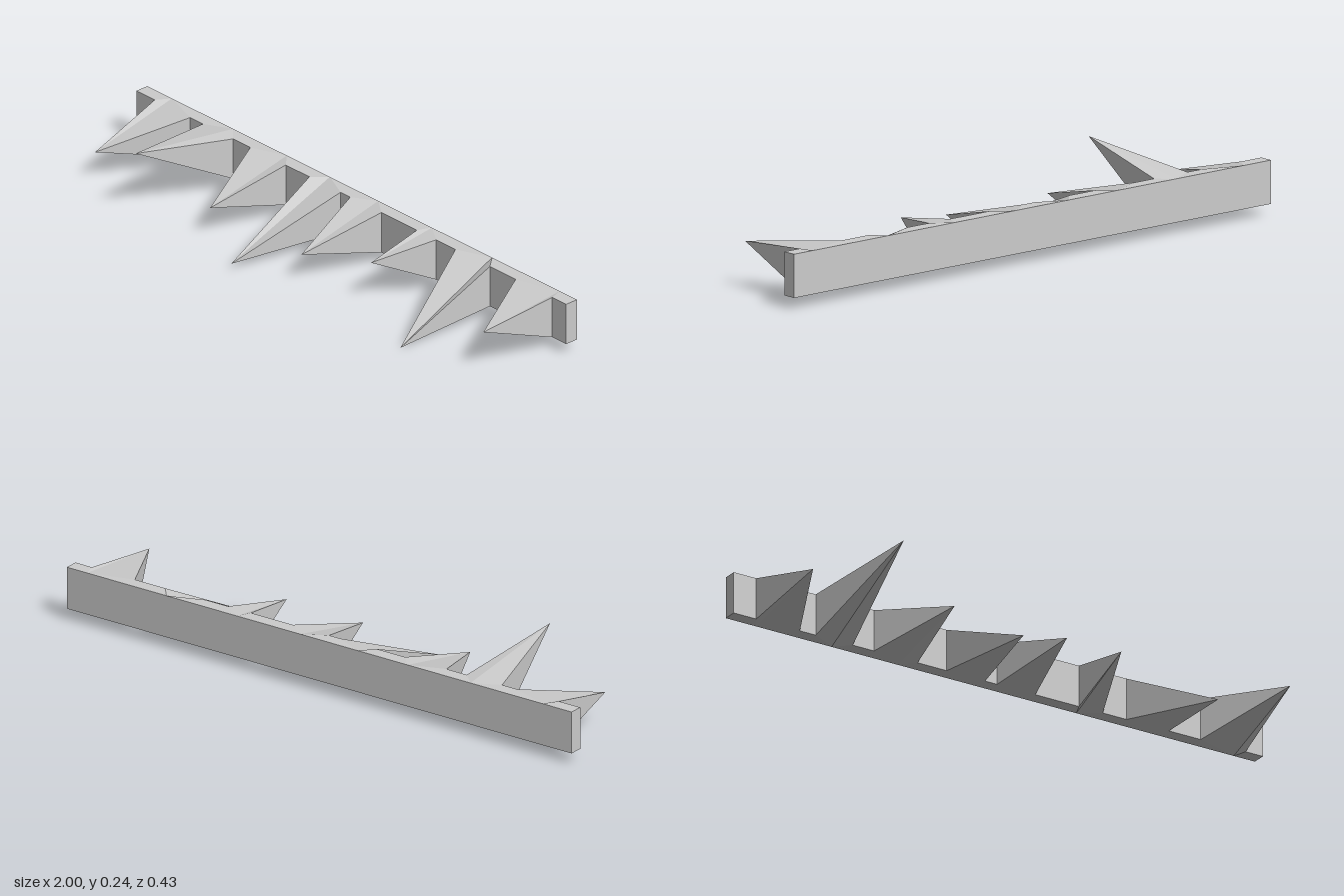
import * as THREE from 'three';

const TOP = 0.183, BOTTOM = 0.04, FRONT = -0.168, BACK = -0.215;

// left edge of base, right edge of base, then tip x, y, z
const SPIKES = [
  [-0.915, -0.75, -0.885, 0.11, 0.12],
  [-0.69, -0.55, -0.60, 0.247, 0.21],
  [-0.47, -0.305, -0.35, 0.115, 0.12],
  [-0.195, -0.05, -0.15, 0.025, 0.215],
  [-0.005, 0.14, 0.075, 0.11, 0.12],
  [0.305, 0.395, 0.325, 0.152, 0.05],
  [0.485, 0.645, 0.605, 0.002, 0.185],
  [0.765, 0.935, 0.92, 0.155, 0.118],
];

const material = new THREE.MeshStandardMaterial({ color: 0xcccccc, flatShading: true });

// Mesh from convex polygons, each listed counter-clockwise from outside
function polygonMesh(name, polygons) {
  const positions = [];
  for (const p of polygons) {
    for (let i = 1; i < p.length - 1; i++) positions.push(...p[0], ...p[i], ...p[i + 1]);
  }
  const geometry = new THREE.BufferGeometry();
  geometry.setAttribute('position', new THREE.Float32BufferAttribute(positions, 3));
  geometry.computeVertexNormals();
  const mesh = new THREE.Mesh(geometry, material);
  mesh.name = name;
  return mesh;
}

// Spike: two side faces, and folded top and bottom faces running to the rail's back edge
function spike([x1, x2, tx, ty, tz]) {
  const tip = [tx, ty, tz];
  const a = [x1, TOP, FRONT], b = [x2, TOP, FRONT], m = [tx, TOP, BACK];
  const c = [x1, BOTTOM, FRONT], d = [x2, BOTTOM, FRONT], n = [tx, BOTTOM, BACK];
  return polygonMesh('spike', [
    [c, tip, a], [d, b, tip],
    [a, tip, m], [tip, b, m],
    [c, n, tip], [tip, n, d],
  ]);
}

// Rail: flat back and ends, with top, front and bottom panels between the spikes
function rail() {
  const polygons = [
    [[1, BOTTOM, BACK], [-1, BOTTOM, BACK], [-1, TOP, BACK], [1, TOP, BACK]],
    [[-1, BOTTOM, BACK], [-1, BOTTOM, FRONT], [-1, TOP, FRONT], [-1, TOP, BACK]],
    [[1, BOTTOM, FRONT], [1, BOTTOM, BACK], [1, TOP, BACK], [1, TOP, FRONT]],
  ];
  const stops = [[-1, -1, -1], ...SPIKES, [1, 1, 1]];
  for (let i = 0; i < stops.length - 1; i++) {
    const [, f0, b0] = stops[i], [f1, , b1] = stops[i + 1];
    const panel = (y) => [[f0, y, FRONT], [f1, y, FRONT], [b1, y, BACK], [b0, y, BACK]];
    polygons.push(
      panel(TOP),
      panel(BOTTOM).reverse(),
      [[f0, BOTTOM, FRONT], [f1, BOTTOM, FRONT], [f1, TOP, FRONT], [f0, TOP, FRONT]],
    );
  }
  return polygonMesh('rail', polygons);
}

export function createModel() {
  const group = new THREE.Group();
  group.name = 'spikedRail';
  group.add(rail());
  for (const s of SPIKES) group.add(spike(s));
  return group;
}
